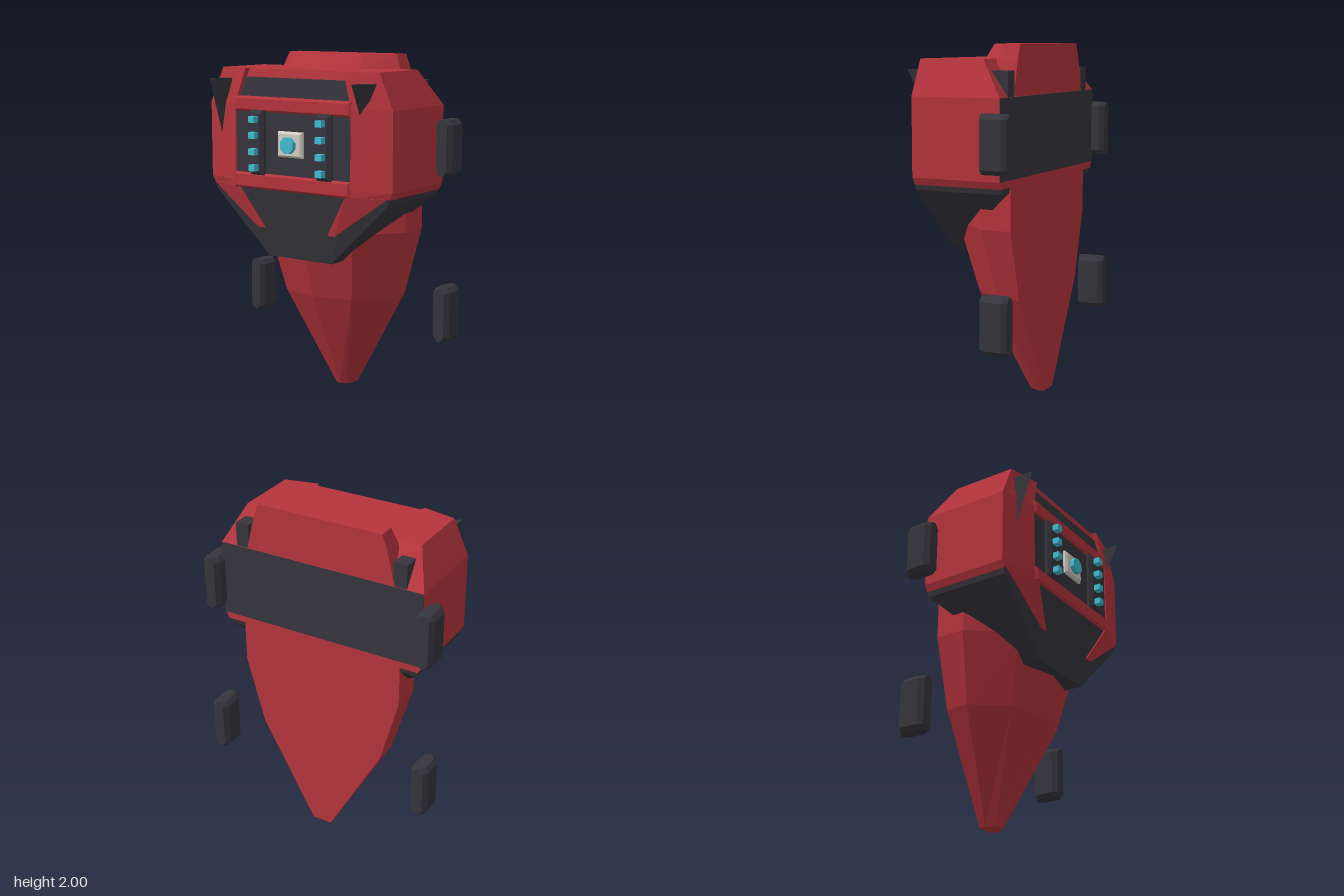
import * as THREE from 'three';
import { ConvexGeometry } from 'three/addons/geometries/ConvexGeometry.js';

const mat = (name, color) => {
  const m = new THREE.MeshStandardMaterial({ color, side: THREE.DoubleSide });
  m.name = name;
  return m;
};

// Faceted solid through matching rings [{ y, pts: [[x, z], ...] }], capped at both ends
function loft(rings) {
  const pos = [];
  const put = (r, j) => pos.push(r.pts[j][0], r.y, r.pts[j][1]);
  const n = rings[0].pts.length;
  for (let i = 0; i < rings.length - 1; i++) {
    const lo = rings[i], hi = rings[i + 1];
    for (let j = 0; j < n; j++) {
      const k = (j + 1) % n;
      put(lo, j); put(hi, j); put(lo, k);
      put(hi, j); put(hi, k); put(lo, k);
    }
  }
  [[rings[0], 1], [rings[rings.length - 1], -1]].forEach(([ring, want]) => {
    const v = ring.pts.map(([x, z]) => new THREE.Vector2(x, z));
    THREE.ShapeUtils.triangulateShape(v, []).forEach(([a, b, c]) => {
      const turn = v[b].clone().sub(v[a]).cross(v[c].clone().sub(v[a]));
      (turn * want > 0 ? [a, b, c] : [a, c, b]).forEach((q) => put(ring, q));
    });
  });
  const g = new THREE.BufferGeometry();
  g.setAttribute('position', new THREE.Float32BufferAttribute(pos, 3));
  g.computeVertexNormals();
  return g;
}

const convex = (pts) => new ConvexGeometry(pts.map((p) => new THREE.Vector3(...p)));

// Plate facing +z with bevelled front edges
function bevelPlate(w, h, z0, z1, c) {
  const pts = [];
  for (const sx of [-1, 1]) for (const sy of [-1, 1]) {
    pts.push([sx * w / 2, sy * h / 2, z0], [sx * w / 2, sy * h / 2, z1 - c],
      [sx * (w / 2 - c), sy * (h / 2 - c), z1]);
  }
  return convex(pts);
}

// Mirrors a half ring running from the +x back to the front
const mirrorRing = (half) => [...half, ...half.filter((p) => p[0] > 0).reverse().map(([x, z]) => [-x, z])];

export function createModel() {
  const model = new THREE.Group();
  model.name = 'armouredPack';
  const red = mat('red', 0xb5343c);
  const dark = mat('charcoal', 0x36353c);
  const cyan = mat('cyan', 0x3fbdd3);
  const beige = mat('beige', 0xd3cdc4);
  const add = (name, geo, material, x = 0, y = 0, z = 0) => {
    const m = new THREE.Mesh(geo, material);
    m.name = name;
    m.position.set(x, y, z);
    model.add(m);
    return m;
  };

  // Tapering inner hull with a flat back: [y, half width, front z]
  const back = -0.289;
  add('hull', loft([
    [0, 0.06, -0.18], [0.6, 0.39, 0.1], [1.0, 0.5, 0.215], [1.3, 0.5, 0.24],
    [1.72, 0.46, 0.16], [1.92, 0.41, 0.04], [2, 0.38, -0.015],
  ].map(([y, w, f]) => {
    const d = f - back;
    return { y, pts: mirrorRing([[w, back], [w, back + 0.35 * d], [0.6 * w, back + 0.84 * d], [0, f]]) };
  })), red);

  // Chest shell: [y, half width, back z, side z, cheek x, cheek z, centre x, centre z]
  add('chest', loft([
    [1.24, 0.61, -0.29, 0.235, 0.4, 0.3, 0.39, 0.29],
    [1.28, 0.63, -0.29, 0.24, 0.4, 0.305, 0.39, 0.29],
    [1.72, 0.63, -0.29, 0.24, 0.4, 0.298, 0.39, 0.285],
    [1.92, 0.54, -0.15, 0.235, 0.34, 0.28, 0.33, 0.25],
  ].map(([y, w, b, s, cx, cz, ix, iz]) => ({
    y, pts: mirrorRing([[w, b], [w, s], [cx, cz], [ix, iz]]),
  }))), red);
  add('backPanel', new THREE.BoxGeometry(1.26, 0.44, 0.006), dark, 0, 1.5, -0.29);

  // Front panel, slanted vent and the bars framing them
  add('frontPanel', new THREE.BoxGeometry(0.79, 0.36, 0.008), dark, 0, 1.505, 0.292);
  const vent = [];
  for (const s of [-1, 1]) for (const dz of [-0.002, 0.004]) {
    vent.push([s * 0.38, 1.765, 0.277 + dz], [s * 0.355, 1.872, 0.2585 + dz]);
  }
  add('vent', convex(vent), dark);
  add('lowerBar', bevelPlate(0.8, 0.09, 0.26, 0.315, 0.012), red, 0, 1.285);
  add('upperBar', bevelPlate(0.8, 0.085, 0.26, 0.31, 0.012), red, 0, 1.722);

  // Dark belly guard under the chest, with red flaps on its front
  const belly = [];
  for (const s of [-1, 1]) {
    belly.push([s * 0.61, 1.245, -0.289], [s * 0.61, 1.245, 0.24], [s * 0.38, 1.245, 0.3],
      [s * 0.6, 1.21, -0.28], [s * 0.6, 1.21, 0.236], [s * 0.22, 0.84, 0.22], [s * 0.22, 0.84, 0.09]);
  }
  add('bellyGuard', convex(belly), dark);
  for (const s of [-1, 1]) {
    const flap = [];
    for (const dz of [0, -0.03]) {
      flap.push([s * 0.37, 1.245, 0.31 + dz], [s * 0.6, 1.245, 0.25 + dz],
        [s * 0.27, 1.01, 0.264 + dz], [s * 0.22, 1.01, 0.262 + dz]);
    }
    add('bellyFlap', convex(flap), red);
  }

  // Light strips
  for (const s of [-1, 1]) {
    add('lightStrip', bevelPlate(0.1, 0.37, 0.28, 0.33, 0.02), dark, s * 0.232, 1.505);
    for (const y of [1.64, 1.55, 1.457, 1.365]) {
      add('light', new THREE.BoxGeometry(0.042, 0.036, 0.05), cyan, s * 0.232, y, 0.343);
    }
  }

  // Central emblem block with an octagonal lens
  add('lensMount', bevelPlate(0.17, 0.145, 0.28, 0.32, 0.012), beige, 0, 1.507);
  const lens = add('lens', new THREE.CylinderGeometry(0.048, 0.048, 0.04, 8).toNonIndexed(), cyan, 0, 1.505, 0.325);
  lens.geometry.rotateY(Math.PI / 8).rotateX(Math.PI / 2);
  lens.geometry.computeVertexNormals();

  // Shoulder spikes in front and matching lugs behind: [lower x, tip y]
  for (const [x, tip] of [[-0.53, 1.5], [0.45, 1.62]]) {
    add('shoulderSpike', convex([
      [x, 1.86, 0.37], [x + 0.08, 1.86, 0.275], [x + 0.08, 1.86, 0.12], [x, 1.86, 0.12],
      [x, tip, 0.25], [x, tip, 0.18],
    ]), dark);
    add('rearLug', new THREE.BoxGeometry(0.08, 0.2, 0.14), dark, x + 0.04, 1.76, -0.219);
  }

  // Four side pods, bevelled at corners and ends
  const pod = loft([[-0.158, 0.032], [-0.132, 0.054], [0.132, 0.054], [0.158, 0.032]].map(([y, w]) => ({
    y, pts: mirrorRing([[w - 0.022, -0.082], [w, -0.054], [w, 0.054], [w - 0.022, 0.082]]),
  })));
  for (const s of [-1, 1]) {
    for (const y of [0.522, 1.483]) add('sidePod', pod, dark, s * 0.67, y, -0.288);
  }
  return model;
}
